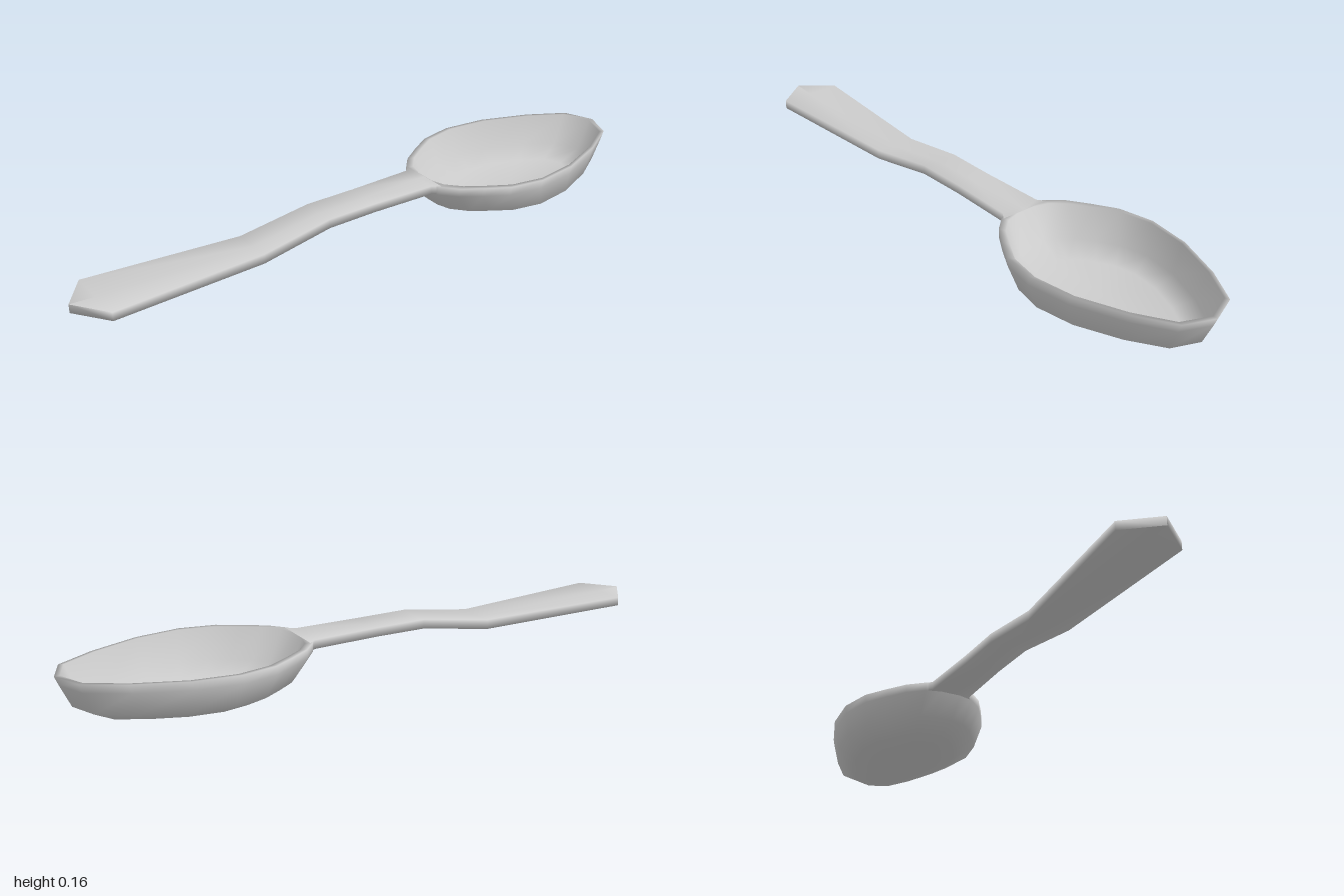
import * as THREE from 'three';

const metal = new THREE.MeshStandardMaterial({ color: 0xcccccc });
metal.name = 'metal';

// Skin a list of equal-sized closed rings; optional centre points cap both ends.
function loft(rings, centres) {
  const n = rings[0].length;
  const points = rings.flat();
  const index = [];
  for (let r = 0; r < rings.length - 1; r++) {
    for (let i = 0; i < n; i++) {
      const a = r * n + i, b = r * n + (i + 1) % n;
      index.push(a, b, b + n, a, b + n, a + n);
    }
  }
  if (centres) {
    const start = points.push(...centres) - 2, last = (rings.length - 1) * n;
    for (let i = 0; i < n; i++) {
      const j = (i + 1) % n;
      index.push(start, j, i, start + 1, last + i, last + j);
    }
  }
  const geometry = new THREE.BufferGeometry();
  geometry.setAttribute('position', new THREE.Float32BufferAttribute(points.flat(), 3));
  geometry.setIndex(index);
  geometry.computeVertexNormals();
  return geometry;
}

// Half outline of the rim, from the neck to the pointed front.
const half = [[0.22, 0.035], [0.235, 0.085], [0.28, 0.135], [0.345, 0.178], [0.42, 0.222],
  [0.535, 0.245], [0.68, 0.226], [0.84, 0.165], [0.96, 0.095]];
const outline = [...half, [1, 0], ...half.slice().reverse().map(([x, z]) => [x, -z])];

// The outline stretched to run from x0 to x1 with half width w, at height y.
const bowlRing = ([y, x0, x1, w]) => outline.map(([x, z]) =>
  [x0 + (x - 0.22) / 0.78 * (x1 - x0), y, z / 0.245 * w]);

export function createModel() {
  const group = new THREE.Group();
  group.name = 'spoon';

  // Bowl: up the outside, over the rim and down the inside.
  const levels = [
    [0, 0.43, 0.78, 0.09],
    [0.02, 0.345, 0.885, 0.163],
    [0.055, 0.275, 0.955, 0.227],
    [0.125, 0.22, 0.988, 0.243],
    [0.153, 0.22, 1, 0.245],
    [0.153, 0.246, 0.983, 0.231],
    [0.054, 0.295, 0.938, 0.211],
    [0.022, 0.37, 0.86, 0.148],
  ];
  const bowl = new THREE.Mesh(
    loft(levels.map(bowlRing), [[0.6, 0, 0], [0.6, 0.016, 0]]), metal);
  bowl.name = 'bowl';
  group.add(bowl);

  // Handle: solid bar with a shallow groove on top, pointed at the tip.
  // Sections are [x, top, bottom, groove depth, half width].
  const sections = [
    [-1, 0.135, 0.107, 0, 0],
    [-0.92, 0.133, 0.105, 0.003, 0.105],
    [-0.41, 0.121, 0.09, 0.005, 0.068],
    [-0.17, 0.157, 0.127, 0.006, 0.061],
    [0, 0.156, 0.127, 0.005, 0.06],
    [0.22, 0.1535, 0.125, 0, 0.067],
    [0.244, 0.1535, 0.125, 0, 0.085],
  ];
  const handle = new THREE.Mesh(loft(sections.map(([x, top, bottom, groove, w]) => [
    [x, top, -w], [x, top - groove, 0], [x, top, w],
    [x, bottom, w], [x, bottom, 0], [x, bottom, -w],
  ])), metal);
  handle.name = 'handle';
  group.add(handle);

  return group;
}
